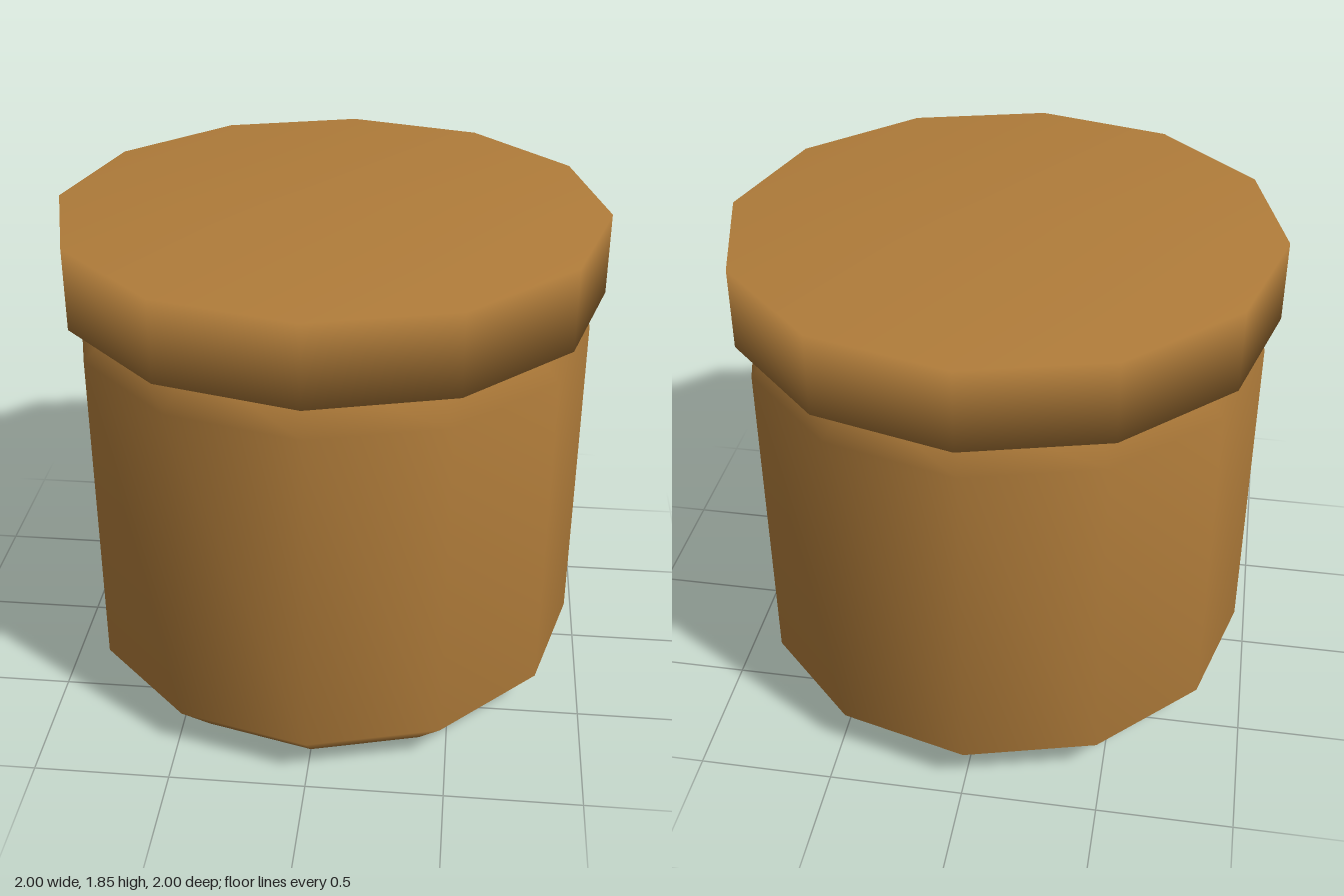
import * as THREE from 'three';

const SIDES = 12;

// Each profile point: [radius, y, radial normal, vertical normal]; smooth across every edge.
function turned(name, profile, material) {
  const points = profile.map(([r, y]) => new THREE.Vector2(r, y));
  const geometry = new THREE.LatheGeometry(points, SIDES);
  const normal = geometry.attributes.normal;
  for (let i = 0; i < normal.count; i++) {
    const angle = Math.floor(i / profile.length) / SIDES * Math.PI * 2;
    const [, , out, up] = profile[i % profile.length];
    const n = new THREE.Vector3(Math.sin(angle) * out, up, Math.cos(angle) * out).normalize();
    normal.setXYZ(i, n.x, n.y, n.z);
  }
  const mesh = new THREE.Mesh(geometry, material);
  mesh.name = name;
  return mesh;
}

export function createModel() {
  const group = new THREE.Group();
  group.name = 'lidded jar';
  const clay = new THREE.MeshStandardMaterial({ color: 0xb07c3a });
  clay.name = 'brown clay';

  // Body with chamfered foot and shoulder
  group.add(turned('body', [
    [0, 0, 0, -1],
    [0.8, 0, 0.12, -1],
    [0.955, 0.155, 1, -0.1],
    [0.955, 1.417, 1, 0.1],
    [0.815, 1.55, 0.12, 1],
    [0, 1.55, 0, 1],
  ], clay));

  // Wide flat lid
  group.add(turned('lid', [
    [0, 1.55, 0, -1],
    [1, 1.55, 0.1, -1],
    [1, 1.85, 0.1, 1],
    [0, 1.85, 0, 1],
  ], clay));

  return group;
}
